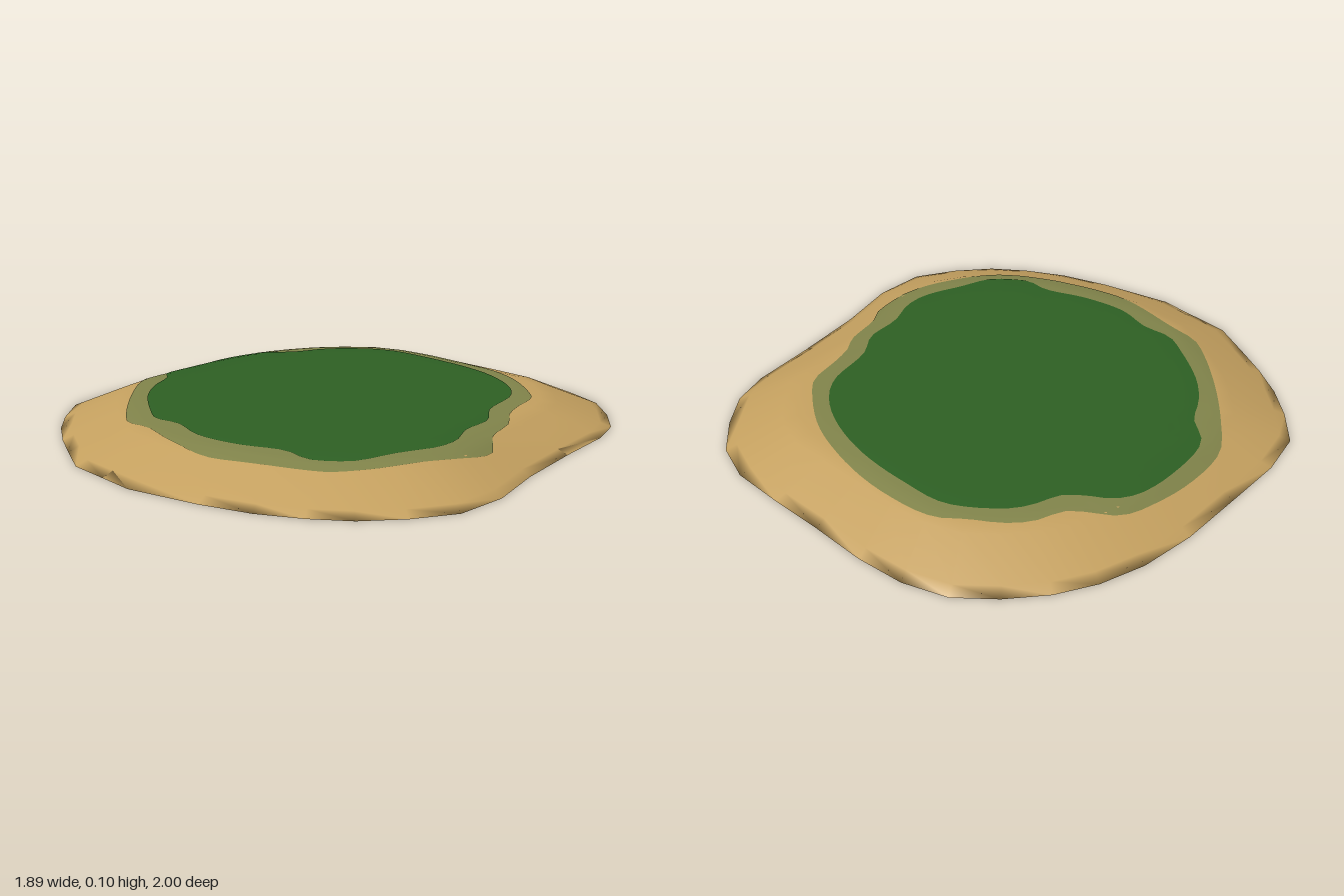
import * as THREE from 'three';

// Outlines as x, z pairs, clockwise seen from above, starting at the back
const shore = [0.04, -1, 0.19, -0.99, 0.33, -0.92, 0.46, -0.81, 0.6, -0.66, 0.74, -0.52, 0.87, -0.38, 0.935, -0.24,
  0.945, -0.08, 0.93, 0.07, 0.87, 0.2, 0.73, 0.39, 0.58, 0.61, 0.47, 0.81, 0.34, 0.94, 0.19, 0.985, 0.04, 1,
  -0.1, 0.98, -0.25, 0.935, -0.41, 0.855, -0.63, 0.715, -0.72, 0.61, -0.82, 0.495, -0.87, 0.34, -0.91, 0.21,
  -0.94, 0.07, -0.95, -0.07, -0.94, -0.23, -0.85, -0.38, -0.7, -0.55, -0.54, -0.73, -0.39, -0.86, -0.25, -0.94, -0.11, -0.985];
const fringe = [0.02, -0.76, 0.14, -0.74, 0.24, -0.72, 0.38, -0.61, 0.52, -0.44, 0.62, -0.25, 0.66, -0.05, 0.66, 0.04,
  0.6, 0.15, 0.56, 0.24, 0.55, 0.32, 0.48, 0.46, 0.47, 0.56, 0.38, 0.66, 0.22, 0.74, 0.08, 0.79, -0.03, 0.8,
  -0.14, 0.77, -0.26, 0.72, -0.41, 0.64, -0.52, 0.51, -0.61, 0.37, -0.68, 0.29, -0.7, 0.19, -0.71, -0.02,
  -0.7, -0.24, -0.68, -0.37, -0.58, -0.51, -0.44, -0.64, -0.32, -0.71, -0.16, -0.71, -0.07, -0.75];
const meadow = [0.01, -0.7, 0.2, -0.67, 0.33, -0.56, 0.47, -0.4, 0.56, -0.24, 0.6, -0.09, 0.59, 0.03, 0.5, 0.2,
  0.48, 0.32, 0.4, 0.43, 0.36, 0.54, 0.3, 0.61, 0.16, 0.68, 0.05, 0.74, -0.03, 0.74, -0.1, 0.72, -0.16, 0.65,
  -0.31, 0.58, -0.44, 0.48, -0.51, 0.36, -0.59, 0.29, -0.62, 0.19, -0.65, 0, -0.64, -0.13, -0.61, -0.24,
  -0.62, -0.35, -0.51, -0.51, -0.39, -0.62, -0.3, -0.65, -0.22, -0.64, -0.15, -0.64, -0.07, -0.68];

// Beach profile: share of the shore radius, height
const profile = [[0, 0.096], [0.66, 0.096], [0.74, 0.091], [0.8, 0.08], [0.96, 0.016], [1, 0]];

const toPoints = (flat) =>
  Array.from({ length: flat.length / 2 }, (_, i) => new THREE.Vector2(flat[2 * i], flat[2 * i + 1]));

// Rounds an outline with a closed curve
function smooth(flat, count) {
  const curve = new THREE.CatmullRomCurve3(toPoints(flat).map((p) => new THREE.Vector3(p.x, 0, p.y)), true);
  return curve.getSpacedPoints(count).slice(0, count).map((p) => new THREE.Vector2(p.x, p.z));
}

function profileHeight(s) {
  const i = Math.max(1, profile.findIndex((p) => s <= p[0]));
  const [s0, y0] = profile[i - 1], [s1, y1] = profile[i];
  return y0 + (y1 - y0) * (s - s0) / (s1 - s0);
}

// Beach height at any point, from its distance relative to the shore
const shorePoints = toPoints(shore);
function beachHeight(p) {
  for (let i = 0; i < shorePoints.length; i++) {
    const a = shorePoints[i], b = shorePoints[(i + 1) % shorePoints.length];
    const d = a.cross(b), u = p.cross(b) / d, v = a.cross(p) / d;
    if (u >= -1e-9 && v >= -1e-9) return profileHeight(Math.min(1, u + v));
  }
  return 0;
}

// Surface of scaled rings around a centre, with an optional flat base
function surface(outline, scales, heightAt, withBase) {
  const n = outline.length, index = [];
  const pos = [0, heightAt(new THREE.Vector2()), 0];
  for (const s of scales) {
    for (const o of outline) {
      const p = o.clone().multiplyScalar(s);
      pos.push(p.x, heightAt(p), p.y);
    }
  }
  for (let i = 0; i < n; i++) {
    const j = (i + 1) % n;
    index.push(0, 1 + j, 1 + i);
    for (let r = 1; r < scales.length; r++) {
      const a = 1 + (r - 1) * n, b = a + n;
      index.push(a + i, a + j, b + i, a + j, b + j, b + i);
    }
  }
  if (withBase) {
    const rim = 1 + (scales.length - 1) * n;
    for (const [a, b, c] of THREE.ShapeUtils.triangulateShape(outline.slice(), [])) {
      const turn = outline[b].clone().sub(outline[a]).cross(outline[c].clone().sub(outline[a]));
      index.push(rim + a, rim + (turn > 0 ? b : c), rim + (turn > 0 ? c : b));
    }
  }
  const g = new THREE.BufferGeometry();
  g.setAttribute('position', new THREE.Float32BufferAttribute(pos, 3));
  g.setIndex(index);
  g.computeVertexNormals();
  return g;
}

export function createModel() {
  const sand = new THREE.MeshStandardMaterial({ name: 'sand', color: 0xc4a05f });
  const olive = new THREE.MeshStandardMaterial({ name: 'dryGrass', color: 0x80834a });
  const green = new THREE.MeshStandardMaterial({ name: 'grass', color: 0x2d5f23 });
  const island = new THREE.Group();
  island.name = 'island';
  const add = (name, geometry, material) => {
    const mesh = new THREE.Mesh(geometry, material);
    mesh.name = name;
    island.add(mesh);
  };

  // Sandy body with a sloping beach and flat underside
  add('beach', surface(shorePoints, profile.slice(1).map((p) => p[0]), beachHeight, true), sand);

  // Thin layers of ground cover that follow the beach
  const fine = Array.from({ length: 40 }, (_, i) => (i + 1) / 40);
  add('grassFringe', surface(smooth(fringe, 96), fine, (p) => beachHeight(p) + 0.002), olive);
  add('grassField', surface(smooth(meadow, 96), fine, (p) => beachHeight(p) + 0.004), green);
  return island;
}
